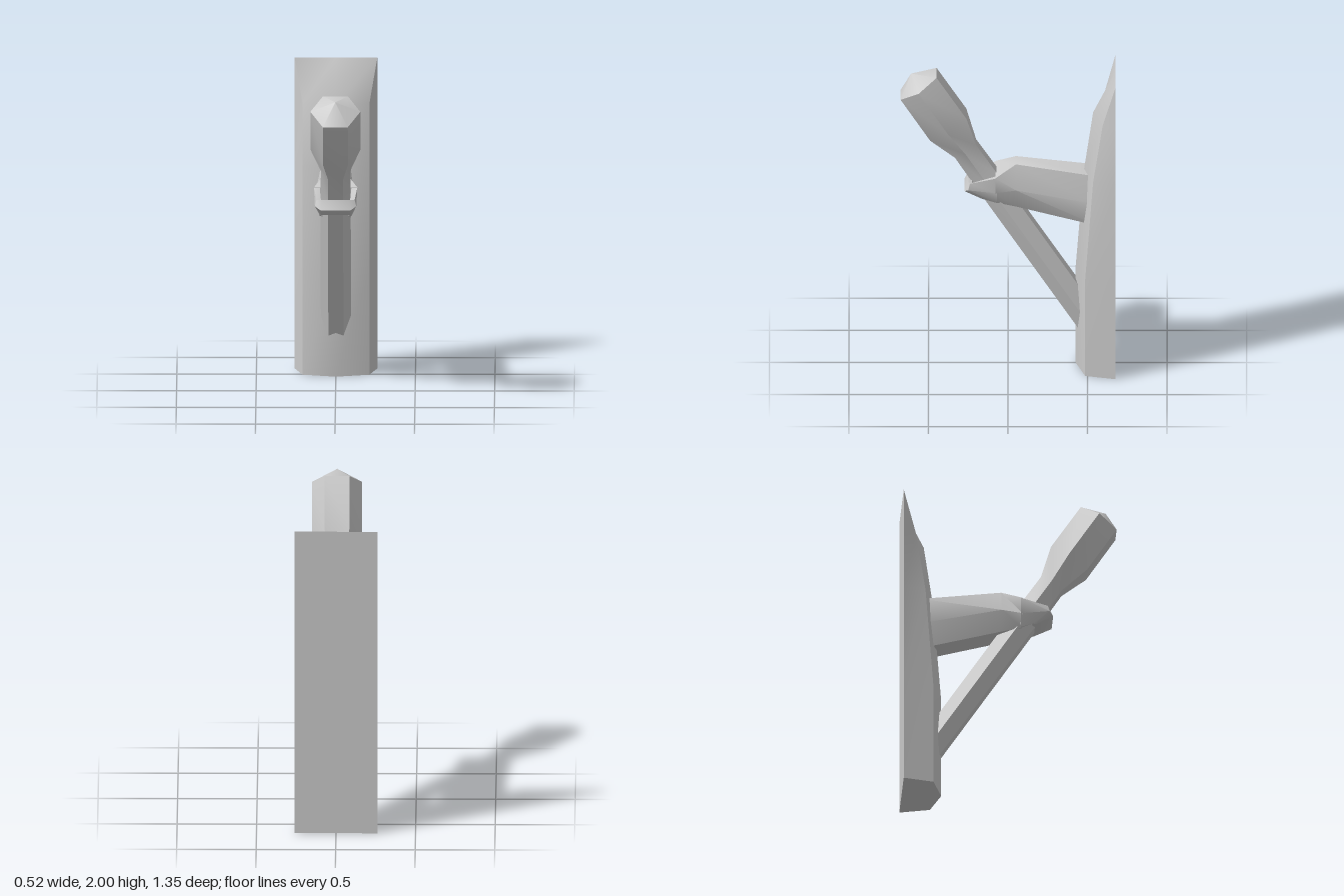
import * as THREE from 'three';
import { toCreasedNormals } from 'three/addons/utils/BufferGeometryUtils.js';

const grey = new THREE.MeshStandardMaterial({ color: 0xcccccc });

function addMesh(group, name, geometry, crease = 0.72) {
  const mesh = new THREE.Mesh(toCreasedNormals(geometry, crease), grey);
  mesh.name = name;
  group.add(mesh);
  return mesh;
}

// Skins a row of closed loops (counter-clockwise about the row direction) and caps both ends
function loft(loops) {
  const pos = [];
  const tri = (a, b, c) => {
    const [A, B, C] = [a, b, c].map((p) => new THREE.Vector3(...p));
    if (B.clone().sub(A).cross(C.clone().sub(A)).length() > 1e-7) pos.push(...a, ...b, ...c);
  };
  const n = loops[0].length;
  for (let i = 0; i < loops.length - 1; i++) {
    for (let j = 0; j < n; j++) {
      const k = (j + 1) % n;
      tri(loops[i][j], loops[i][k], loops[i + 1][k]);
      tri(loops[i][j], loops[i + 1][k], loops[i + 1][j]);
    }
  }
  const first = loops[0];
  const last = loops[loops.length - 1];
  for (let j = 1; j < n - 1; j++) {
    tri(first[0], first[j + 1], first[j]);
    tri(last[0], last[j], last[j + 1]);
  }
  const geometry = new THREE.BufferGeometry();
  geometry.setAttribute('position', new THREE.Float32BufferAttribute(pos, 3));
  return geometry;
}

export function createModel() {
  const model = new THREE.Group();
  model.name = 'wallTorch';

  // Wall plate: flat back, bowed front, tapering to an edge at the top
  // Each row: height, centre front z, front corner z, front corner x
  const back = -0.675;
  const plateRows = [
    [0, -0.425, -0.485, 0.21],
    [0.66, -0.425, -0.485, 0.21],
    [1.33, -0.478, -0.535, 0.21],
    [1.72, -0.535, -0.595, 0.21],
    [2, back, back, 0.26],
  ];
  addMesh(model, 'wallPlate', loft(plateRows.map(([y, zc, zs, x]) => [
    [0, y, zc], [x, y, zs], [0.26, y, back], [-0.26, y, back], [-x, y, zs],
  ])));

  // Bracket arm: six-sided, each row: z, then x and y of bottom, middle and top edges
  const armRows = [
    [-0.56, 0.09, 0.98, 0.12, 1.14, 0.095, 1.32],
    [-0.05, 0.087, 1.11, 0.132, 1.24, 0.065, 1.39],
    [0.08, 0.09, 1.14, 0.132, 1.22, 0.137, 1.325],
  ];
  addMesh(model, 'bracketArm', loft(armRows.map(([z, xb, yb, xm, ym, xt, yt]) => [
    [xb, yb, z], [xm, ym, z], [xt, yt, z], [-xt, yt, z], [-xm, ym, z], [-xb, yb, z],
  ])));

  // Holder loop around the torch: half of it, then mirrored
  // Each section: outer bottom, outer middle, outer top, inner top, inner bottom
  const half = [
    [[0.1, 1.14, 0.07], [0.132, 1.22, 0.07], [0.137, 1.325, 0.07], [0.1, 1.325, 0.07], [0.085, 1.14, 0.07]],
    [[0.1, 1.165, 0.15], [0.13, 1.24, 0.25], [0.12, 1.28, 0.24], [0.092, 1.275, 0.222], [0.08, 1.17, 0.14]],
    [[0.09, 1.165, 0.165], [0.095, 1.22, 0.275], [0.085, 1.28, 0.25], [0.085, 1.275, 0.225], [0.075, 1.17, 0.145]],
  ];
  const mirrored = half.map((s) => s.map(([x, y, z]) => [-x, y, z])).reverse();
  addMesh(model, 'holderLoop', loft([...half, ...mirrored]));

  // Torch: six-sided shaft and flared head along a leaning axis
  const profile = [
    [0, -0.25], [0.095, -0.25], [0.095, 1.0], [0.092, 1.249],
    [0.158, 1.446], [0.157, 1.783], [0, 1.868],
  ].map(([r, t]) => new THREE.Vector2(r, t));
  const torch = addMesh(model, 'torch', new THREE.LatheGeometry(profile, 6, Math.PI / 6));
  torch.position.set(0, 0.43, -0.425);
  torch.rotation.x = Math.atan2(0.554, 0.833);

  return model;
}
